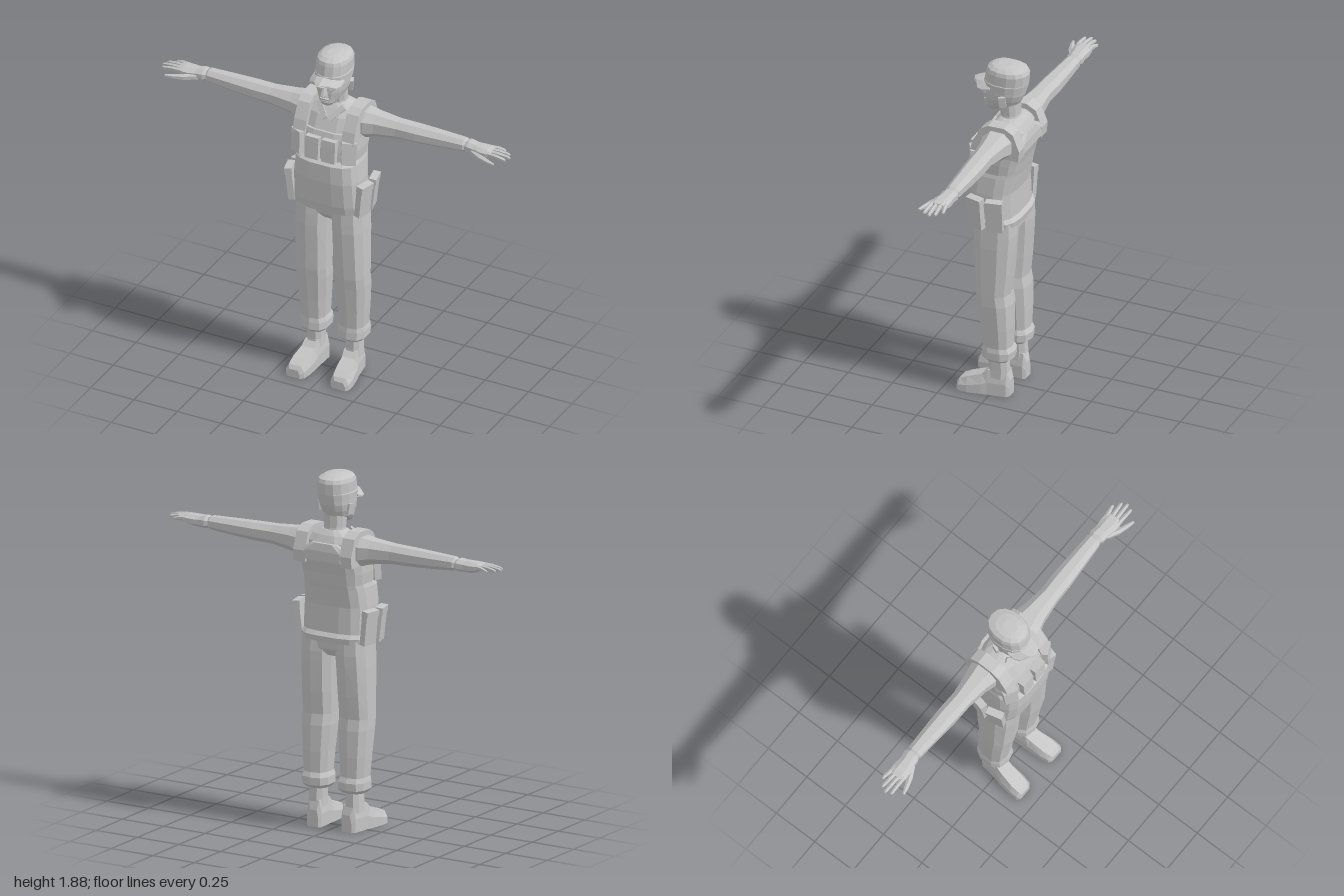
import * as THREE from 'three';

const grey = new THREE.MeshStandardMaterial({ color: 0xc4c4c4 });
grey.name = 'plain grey';

// Flat facets without shared corners
function facet(geo) {
  const g = geo.index ? geo.toNonIndexed() : geo;
  g.deleteAttribute('uv');
  g.computeVertexNormals();
  return g;
}

// Closed skin through a list of equal-length rings
function loft(rings) {
  const pos = [], n = rings[0].length;
  const tri = (...p) => p.forEach(v => pos.push(v[0], v[1], v[2]));
  const mid = r => [0, 1, 2].map(k => r.reduce((s, p) => s + p[k], 0) / n);
  const first = rings[0], last = rings[rings.length - 1];
  for (let i = 0; i < n; i++) {
    const j = (i + 1) % n;
    for (let k = 0; k < rings.length - 1; k++) {
      const a = rings[k], b = rings[k + 1];
      tri(a[i], b[i], a[j]);
      tri(a[j], b[i], b[j]);
    }
    tri(mid(first), first[i], first[j]);
    tri(mid(last), last[j], last[i]);
  }
  const g = new THREE.BufferGeometry();
  g.setAttribute('position', new THREE.Float32BufferAttribute(pos, 3));
  return facet(g);
}

// Rounded-square outline points
function outline(n, e) {
  return Array.from({ length: n }, (_, i) => {
    const a = (i + 0.5) * 2 * Math.PI / n, c = Math.cos(a), s = Math.sin(a);
    return [Math.sign(c) * Math.abs(c) ** e, Math.sign(s) * Math.abs(s) ** e];
  });
}
// Rows [y, centre x, half width, front z, back z]
const upLoft = (rows, n = 12, e = 0.75) => loft(rows.map(([y, cx, hx, zf, zb]) =>
  outline(n, e).map(([c, s]) => [cx + hx * c, y, (zf + zb) / 2 + (zf - zb) / 2 * s])));
// Rows [x, centre y, centre z, half height, half depth]
const sideLoft = (rows, n = 8, e = 0.9) => loft(rows.map(([x, cy, cz, hy, hz]) =>
  outline(n, e).map(([c, s]) => [x, cy + hy * s, cz + hz * c])));
// Rows [z, bottom y, top y, centre x, half width, top half width]
const bootLoft = rows => loft(rows.map(([z, b, t, cx, w, tw]) => [
  [cx - w, b, z], [cx - w, b + (t - b) * 0.5, z], [cx - tw, t, z],
  [cx + tw, t, z], [cx + w, b + (t - b) * 0.5, z], [cx + w, b, z]]));

function box(w, h, d, x, y, z, rx = 0, ry = 0, rz = 0) {
  const g = new THREE.BoxGeometry(w, h, d);
  g.applyMatrix4(new THREE.Matrix4().makeRotationFromEuler(new THREE.Euler(rx, ry, rz)));
  return facet(g.translate(x, y, z));
}

// Mirror in x, keeping faces outward
function mirrored(geo) {
  const g = geo.clone(), p = g.attributes.position;
  for (let i = 0; i < p.count; i += 3) {
    const t = [0, 1, 2].map(k => new THREE.Vector3().fromBufferAttribute(p, i + k));
    [t[0], t[2], t[1]].forEach((v, k) => p.setXYZ(i + k, -v.x, v.y, v.z));
  }
  g.computeVertexNormals();
  return g;
}

export function createModel() {
  const model = new THREE.Group();
  model.name = 'soldierFigure';
  const add = (name, geo) => {
    const m = new THREE.Mesh(geo, grey);
    m.name = name;
    model.add(m);
  };
  const pair = (name, geo) => {
    add('left' + name, geo);
    add('right' + name, mirrored(geo));
  };

  // Trousers
  add('pelvis', upLoft([[0.92, 0, 0.05, 0.05, -0.09], [0.96, 0, 0.15, 0.085, -0.12], [1.03, 0, 0.185, 0.1, -0.125]]));
  pair('TrouserLeg', upLoft([
    [0.205, 0.108, 0.062, 0.035, -0.095], [0.225, 0.108, 0.08, 0.055, -0.12], [0.265, 0.108, 0.08, 0.052, -0.122],
    [0.29, 0.11, 0.072, 0.047, -0.108], [0.4, 0.111, 0.08, 0.058, -0.112], [0.54, 0.11, 0.09, 0.075, -0.11],
    [0.6, 0.11, 0.09, 0.083, -0.1], [0.72, 0.108, 0.091, 0.09, -0.113], [0.88, 0.105, 0.092, 0.1, -0.125],
    [0.94, 0.102, 0.092, 0.1, -0.128], [1.02, 0.1, 0.09, 0.098, -0.125]], 10));

  // Boots
  pair('BootShaft', upLoft([[0.1, 0.11, 0.046, 0.025, -0.092], [0.15, 0.11, 0.043, 0.02, -0.09], [0.24, 0.108, 0.042, 0.02, -0.085]], 8));
  pair('Boot', bootLoft([
    [-0.1, 0, 0.09, 0.1, 0.03, 0.02], [-0.085, 0, 0.14, 0.103, 0.043, 0.03], [0.015, 0, 0.14, 0.112, 0.048, 0.036],
    [0.045, 0, 0.112, 0.116, 0.053, 0.036], [0.12, 0, 0.085, 0.124, 0.057, 0.04],
    [0.165, 0, 0.065, 0.128, 0.052, 0.035], [0.18, 0, 0.045, 0.13, 0.036, 0.025]]));

  // Shirt and collar
  add('shirtChest', upLoft([
    [1.36, 0, 0.165, 0.085, -0.14], [1.46, 0, 0.17, 0.085, -0.155], [1.53, 0, 0.16, 0.05, -0.15],
    [1.565, 0, 0.115, 0.02, -0.13], [1.59, 0, 0.062, -0.005, -0.105]]));
  pair('Collar', box(0.03, 0.1, 0.012, 0.042, 1.55, 0.033, -0.55, 0.1, -0.65));

  // Vest: body, hem, waist step, straps
  add('vestBody', upLoft([
    [1.0, 0, 0.19, 0.122, -0.135], [1.03, 0, 0.195, 0.128, -0.14], [1.05, 0, 0.19, 0.133, -0.122],
    [1.19, 0, 0.187, 0.146, -0.118], [1.29, 0, 0.178, 0.144, -0.135], [1.31, 0, 0.172, 0.118, -0.14],
    [1.37, 0, 0.178, 0.115, -0.152], [1.43, 0, 0.178, 0.105, -0.17], [1.46, 0, 0.165, 0.095, -0.176]], 16, 0.65));
  add('vestBackPanel', upLoft([[1.44, 0, 0.15, -0.1, -0.177], [1.49, 0, 0.15, -0.1, -0.175], [1.53, 0, 0.075, -0.1, -0.166]], 8, 0.4));
  const strap = new THREE.Shape([
    [0.105, 1.42], [0.085, 1.49], [0.04, 1.57], [0.0, 1.595], [-0.09, 1.598],
    [-0.14, 1.57], [-0.175, 1.48], [-0.17, 1.42]].map(([z, y]) => new THREE.Vector2(-z, y)));
  pair('VestStrap', facet(new THREE.ExtrudeGeometry(strap, { depth: 0.07, bevelEnabled: false })
    .rotateY(Math.PI / 2).translate(0.105, 0, 0)));

  // Chest pouches with flaps
  [[0.048, 0.118, 0], [0.145, 0.094, 0.5]].forEach(([x, z, yaw], i) => {
    const label = i ? 'OuterChestPouch' : 'InnerChestPouch';
    pair(label, box(0.075, 0.11, 0.04, x, 1.365, z, -0.1, yaw));
    pair(label + 'Flap', box(0.079, 0.03, 0.048, x, 1.42, z - 0.004, -0.12, yaw));
  });

  // Hip pouches leaning out at the top
  [[0.053, -0.25], [-0.053, 0.2]].forEach(([z, yaw], i) => {
    const label = i ? 'RearHipPouch' : 'FrontHipPouch';
    pair(label, box(0.034, 0.18, 0.084, 0.207, 1.09, z, 0, yaw, -0.11));
    pair(label + 'Flap', box(0.04, 0.035, 0.088, 0.216, 1.165, z, 0, yaw, -0.11));
  });

  // Sleeves
  pair('Sleeve', sideLoft([
    [0.12, 1.5, -0.055, 0.075, 0.085], [0.185, 1.495, -0.052, 0.08, 0.085], [0.24, 1.5, -0.053, 0.067, 0.07],
    [0.36, 1.504, -0.052, 0.053, 0.054], [0.47, 1.505, -0.055, 0.05, 0.055], [0.6, 1.507, -0.058, 0.044, 0.049],
    [0.735, 1.51, -0.06, 0.036, 0.042], [0.748, 1.51, -0.06, 0.028, 0.033]]));

  // Gloved hands
  pair('Hand', sideLoft([
    [0.73, 1.51, -0.06, 0.022, 0.026], [0.752, 1.51, -0.06, 0.03, 0.041], [0.762, 1.51, -0.06, 0.034, 0.046],
    [0.8, 1.508, -0.056, 0.031, 0.043], [0.84, 1.508, -0.053, 0.03, 0.051], [0.875, 1.512, -0.052, 0.024, 0.052],
    [0.9, 1.515, -0.052, 0.014, 0.047]]));
  [[-0.088, -0.1, 0.948], [-0.064, -0.073, 0.985], [-0.04, -0.045, 1.0], [-0.017, -0.014, 0.988]].forEach(([z0, z1, tip], i) => {
    const mid = (0.87 + tip) / 2;
    pair('Finger' + (i + 1), sideLoft([
      [0.87, 1.516, z0, 0.014, 0.012], [mid, 1.516, (z0 + z1) / 2, 0.012, 0.011],
      [tip - 0.012, 1.51, z1, 0.01, 0.009], [tip, 1.508, z1, 0.005, 0.005]], 6));
  });
  pair('Thumb', sideLoft([
    [0.79, 1.5, -0.03, 0.018, 0.02], [0.85, 1.496, 0.002, 0.017, 0.018],
    [0.905, 1.496, 0.022, 0.012, 0.013], [0.945, 1.498, 0.034, 0.006, 0.007]], 6));

  // Neck and head
  add('neck', upLoft([[1.55, 0, 0.066, 0.0, -0.11], [1.6, 0, 0.058, 0.0, -0.1], [1.69, 0, 0.06, 0.02, -0.1]], 10, 0.9));
  add('head', upLoft([
    [1.612, 0, 0.03, 0.08, 0.02], [1.63, 0, 0.048, 0.089, -0.03], [1.655, 0, 0.066, 0.087, -0.095],
    [1.69, 0, 0.08, 0.088, -0.115], [1.725, 0, 0.086, 0.087, -0.13], [1.77, 0, 0.087, 0.088, -0.138]], 14, 0.9));
  pair('Ear', box(0.016, 0.058, 0.036, 0.09, 1.7, -0.042, 0.15, 0.35, -0.12));
  add('nose', loft([[1.668, 0.022, 0.085, 0.1], [1.682, 0.018, 0.085, 0.117], [1.735, 0.009, 0.08, 0.092]]
    .map(([y, w, zb, zf]) => [[w, y, zb], [w * 0.45, y, zf], [-w * 0.45, y, zf], [-w, y, zb]])));
  add('upperLip', box(0.045, 0.009, 0.014, 0, 1.654, 0.086, 0.3));
  add('lowerLip', box(0.036, 0.009, 0.014, 0, 1.643, 0.086, -0.3));
  pair('Brow', box(0.046, 0.012, 0.016, 0.036, 1.732, 0.078, 0, 0.3, 0.18));
  pair('Eye', box(0.026, 0.01, 0.008, 0.036, 1.712, 0.078, 0, 0.3));

  // Cap: crown with band, and curved brim
  add('capCrown', upLoft([
    [1.745, 0, 0.091, 0.09, -0.137], [1.783, 0, 0.093, 0.093, -0.145], [1.787, 0, 0.09, 0.09, -0.145],
    [1.84, 0, 0.09, 0.08, -0.149], [1.86, 0, 0.083, 0.073, -0.14], [1.874, 0, 0.062, 0.05, -0.1],
    [1.881, 0, 0.03, 0.02, -0.06]], 14, 0.9));
  const across = [-1, -0.5, 0, 0.5, 1];
  const brimRing = ([z, w, y, droop]) => {
    const edge = (lift, list) => list.map(t => [t * w, y + lift - droop * t * t, z - 0.03 * t * t]);
    return [...edge(0, across), ...edge(-0.009, [...across].reverse())].reverse();
  };
  add('capBrim', loft([[0.06, 0.088, 0.0 + 1.788, 0.03], [0.1, 0.089, 1.782, 0.036], [0.135, 0.076, 1.773, 0.028], [0.152, 0.045, 1.767, 0.012]]
    .map(brimRing).map(r => r.reverse())));

  return model;
}
